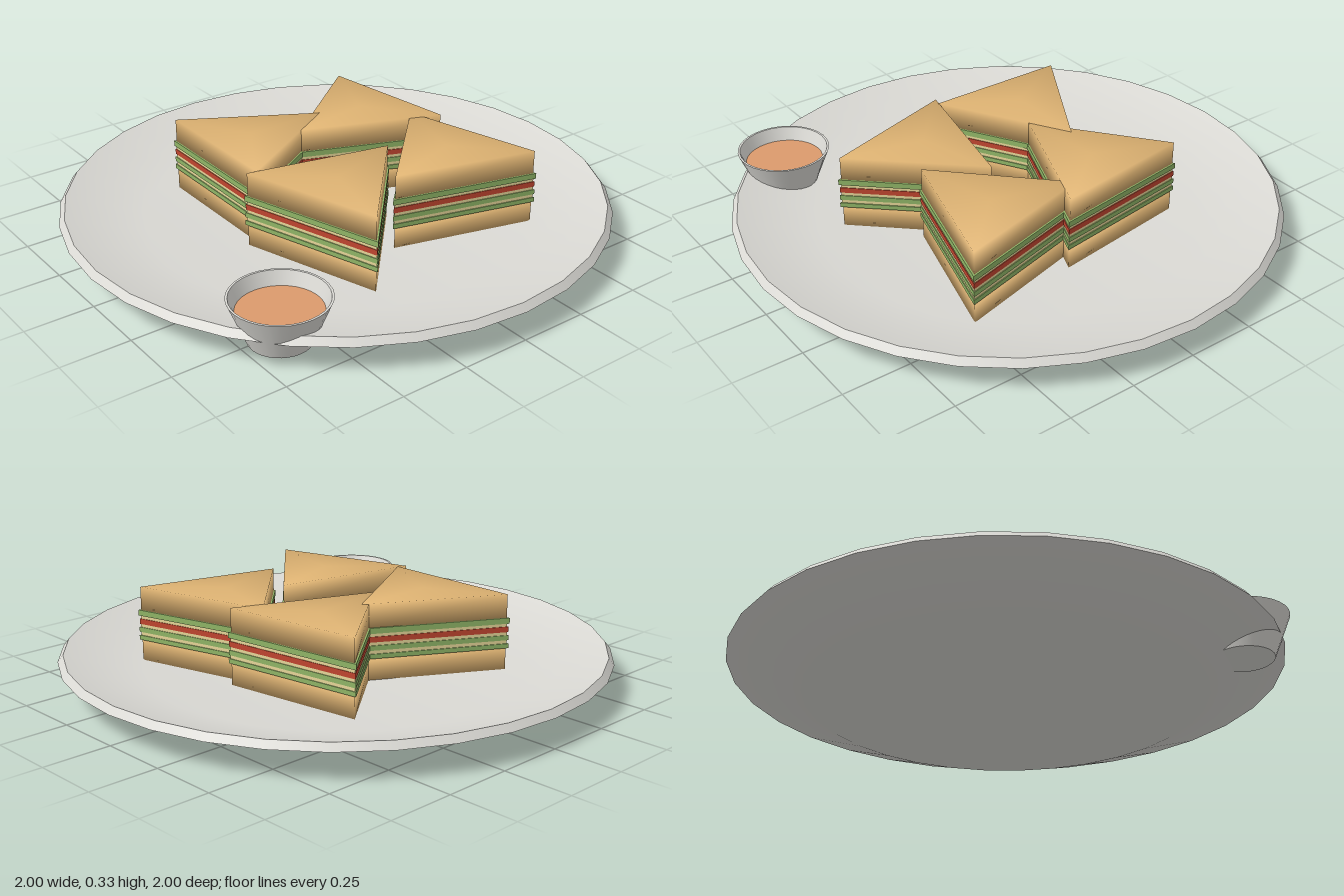
import * as THREE from 'three';
import { mergeVertices } from 'three/addons/utils/BufferGeometryUtils.js';

const material = (name, color) => {
  const m = new THREE.MeshStandardMaterial({ color });
  m.name = name;
  return m;
};

export function createModel() {
  const model = new THREE.Group();
  model.name = 'sandwichPlatter';

  const ceramic = material('ceramic', 0xdad9d4);
  const bread = material('bread', 0xddb272);
  const lettuce = material('lettuce', 0x8fb466);
  const cheese = material('cheese', 0xe6d698);
  const tomato = material('tomato', 0xc0452f);
  const sauce = material('sauce', 0xdb9a6c);

  const add = (parent, name, geometry, mat) => {
    const mesh = new THREE.Mesh(geometry, mat);
    mesh.name = name;
    parent.add(mesh);
    return mesh;
  };
  const lathe = (points, segments = 32) =>
    new THREE.LatheGeometry(points.map(([r, y]) => new THREE.Vector2(r, y)), segments);

  // Plate: underside, bevelled lip and shallow dish
  const plate = new THREE.Group();
  plate.name = 'plate';
  model.add(plate);
  add(plate, 'plateUnderside', lathe([[0, 0], [0.72, 0], [1, 0.105]]), ceramic);
  add(plate, 'plateLip', lathe([[1, 0.105], [0.98, 0.13]]), ceramic);
  add(plate, 'plateDish', lathe([[0.98, 0.13], [0.7, 0.05], [0, 0.048]]), ceramic);

  // Sauce cup near the front edge of the plate
  const cup = new THREE.Group();
  cup.name = 'sauceCup';
  cup.position.set(-0.645, 0, 0.57);
  model.add(cup);
  add(cup, 'cupBase', lathe([[0, 0.035], [0.108, 0.035]]), ceramic);
  add(cup, 'cupOutside', lathe([[0.108, 0.035], [0.17, 0.19]]), ceramic);
  add(cup, 'cupRim', lathe([[0.17, 0.19], [0.162, 0.19]]), ceramic);
  add(cup, 'cupInside', lathe([[0.162, 0.19], [0.138, 0.13]]), ceramic);
  const surface = add(cup, 'sauceSurface', new THREE.CircleGeometry(0.143, 32), sauce);
  surface.rotation.x = -Math.PI / 2;
  surface.position.y = 0.142;

  // Triangular slab; soft slabs share normals over their edges
  const slab = (radius, y0, y1, soft) => {
    let g = new THREE.CylinderGeometry(radius, radius, y1 - y0, 3);
    g.translate(0, (y0 + y1) / 2, 0);
    if (soft) {
      g.deleteAttribute('normal');
      g.deleteAttribute('uv');
      g = mergeVertices(g);
    } else {
      g = g.toNonIndexed();
    }
    g.computeVertexNormals();
    return g;
  };

  // Layers from bottom to top: name, material, radius, start, end
  const layers = [
    ['bottomBread', bread, 0.31, 0.05, 0.13],
    ['lowerLettuce', lettuce, 0.32, 0.13, 0.147],
    ['lowerCheese', cheese, 0.313, 0.147, 0.16],
    ['middleLettuce', lettuce, 0.319, 0.16, 0.178],
    ['upperCheese', cheese, 0.313, 0.178, 0.19],
    ['tomatoSlice', tomato, 0.317, 0.19, 0.21],
    ['topCheese', cheese, 0.312, 0.21, 0.222],
    ['upperLettuce', lettuce, 0.321, 0.222, 0.243],
    ['topBread', bread, 0.31, 0.243, 0.33],
  ];
  const geometries = layers.map(([, mat, r, y0, y1]) => slab(r, y0, y1, mat === bread));

  // Four sandwich wedges: x, z, turn in degrees
  [
    [-0.22, -0.22, 90],
    [0.25, -0.18, -82],
    [-0.18, 0.247, 107.4],
    [0.283, 0.281, 44.8],
  ].forEach(([x, z, turn], i) => {
    const wedge = new THREE.Group();
    wedge.name = `sandwich${i + 1}`;
    wedge.position.set(x, -0.0006 * i, z);
    wedge.rotation.y = THREE.MathUtils.degToRad(turn);
    layers.forEach(([name, mat], k) => add(wedge, name, geometries[k], mat));
    model.add(wedge);
  });

  return model;
}
